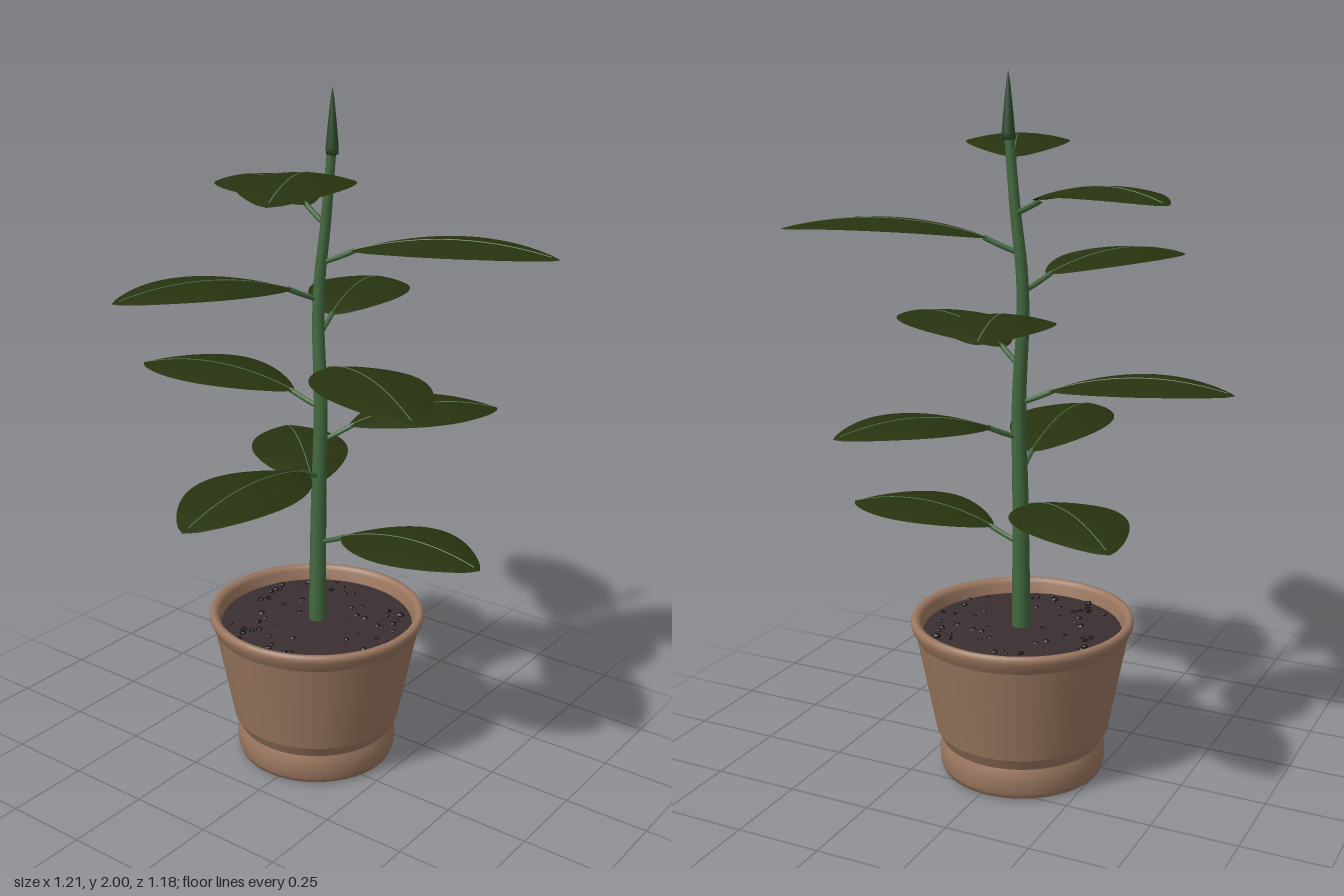
import * as THREE from 'three';

const flat = (name, color, side = THREE.FrontSide) => {
  const m = new THREE.MeshStandardMaterial({ color, side });
  m.name = name;
  return m;
};
const V = (x, y, z) => new THREE.Vector3(x, y, z);

export function createModel() {
  const mat = {
    clay: flat('clay', 0x9b7760),
    soil: flat('soil', 0x3a2f31),
    grit: flat('grit', 0x1c1718),
    stem: flat('stem green', 0x42683f),
    bud: flat('bud green', 0x2e4c2e),
    leaf: flat('leaf green', 0x27330f, THREE.DoubleSide),
    midrib: flat('midrib green', 0x5c7a58),
  };
  const plant = new THREE.Group();
  plant.name = 'pottedPlant';
  const add = (parent, name, geometry, material) => {
    const mesh = new THREE.Mesh(geometry, material);
    mesh.name = name;
    parent.add(mesh);
    return mesh;
  };

  // Pot: separate lathe sections keep the creases sharp
  const pot = new THREE.Group();
  pot.name = 'pot';
  pot.position.set(-0.025, 0, -0.065);
  plant.add(pot);
  const sections = {
    potFoot: [[0, 0], [0.222, 0], [0.234, 0.006], [0.24, 0.022], [0.243, 0.05], [0.241, 0.075], [0.234, 0.095]],
    potGroove: [[0.234, 0.095], [0.252, 0.13]],
    potWall: [[0.252, 0.13], [0.281, 0.28], [0.307, 0.415]],
    potRim: [[0.307, 0.415], [0.315, 0.43], [0.322, 0.447], [0.323, 0.458], [0.319, 0.467],
      [0.31, 0.469], [0.3, 0.465], [0.294, 0.455], [0.286, 0.415]],
  };
  for (const [name, pts] of Object.entries(sections)) {
    add(pot, name, new THREE.LatheGeometry(pts.map(p => new THREE.Vector2(...p)), 64), mat.clay);
  }

  // Soil with scattered grit
  const soil = [[0.29, 0.425], [0.2, 0.431], [0.1, 0.434], [0, 0.435]];
  add(pot, 'soil', new THREE.LatheGeometry(soil.map(p => new THREE.Vector2(...p)), 48), mat.soil);
  let seed = 7;
  const random = () => (seed = (seed * 16807) % 2147483647) / 2147483647;
  for (let i = 0; i < 60; i++) {
    const a = random() * Math.PI * 2, r = 0.05 + 0.22 * Math.sqrt(random());
    const grain = add(pot, 'soilGrain', new THREE.IcosahedronGeometry(0.006 + random() * 0.006, 0), mat.grit);
    grain.position.set(Math.cos(a) * r, 0.432, Math.sin(a) * r);
    grain.scale.y = 0.6;
    grain.rotation.y = a * 3;
  }

  // Stem: gently bent tube, tapered toward the tip
  const stemCurve = new THREE.CatmullRomCurve3([
    V(-0.021, 0.42, -0.064), V(-0.02, 0.8, -0.067), V(-0.02, 1.1, -0.076), V(-0.037, 1.35, -0.086),
    V(-0.035, 1.48, -0.091), V(-0.02, 1.62, -0.095), V(-0.002, 1.83, -0.098),
  ]);
  const stemGeo = new THREE.TubeGeometry(stemCurve, 60, 0.027, 14);
  const pos = stemGeo.attributes.position, uv = stemGeo.attributes.uv, p = V(0, 0, 0);
  for (let i = 0; i < pos.count; i++) {
    const u = uv.getX(i), c = stemCurve.getPointAt(u);
    p.fromBufferAttribute(pos, i).sub(c).multiplyScalar(1 - 0.52 * u).add(c);
    pos.setXYZ(i, p.x, p.y, p.z);
  }
  add(plant, 'stem', stemGeo, mat.stem);

  // Pointed bud at the top
  const bud = [[0, 0], [0.017, 0.005], [0.018, 0.025], [0.012, 0.09], [0.005, 0.155], [0, 0.185]];
  add(plant, 'bud', new THREE.LatheGeometry(bud.map(q => new THREE.Vector2(...q)), 16), mat.bud)
    .position.set(0, 1.815, -0.098);

  const stemAt = y => {
    let best = stemCurve.getPoint(0);
    for (const c of stemCurve.getPoints(200)) if (Math.abs(c.y - y) < Math.abs(best.y - y)) best = c;
    return best.clone();
  };

  // Blade: arched lengthwise, edges drooping, blunt pointed tip
  const bladeStart = 0.085;
  const arch = t => 0.035 + 0.016 * t + 0.168 * t * (1 - t);
  const bladeGeometry = reach => {
    const g = new THREE.PlaneGeometry(2, 1, 12, 28).rotateX(-Math.PI / 2);
    const a = g.attributes.position;
    for (let i = 0; i < a.count; i++) {
      const s = a.getX(i), t = THREE.MathUtils.clamp(a.getZ(i) + 0.5, 0, 1);
      const w = Math.pow(Math.max(Math.sin(Math.PI * t), 0), 0.75);
      a.setXYZ(i, 0.15 * w * s, arch(t) - 0.02 * w * s * s, bladeStart + t * (reach - bladeStart));
    }
    g.computeVertexNormals();
    return g;
  };

  // Leaves spiral up the stem; each entry is a tip position
  const tips = [
    [0.53, 0.74, -0.07], [-0.46, 0.845, -0.48], [0.04, 0.95, 0.59], [0.32, 1.055, -0.5],
    [-0.61, 1.155, 0.03], [0.54, 1.26, 0.29], [-0.155, 1.365, -0.595], [-0.3, 1.47, 0.465],
    [0.605, 1.575, -0.29], [-0.518, 1.682, -0.28], [0.235, 1.785, 0.48],
  ];
  for (const [x, y, z] of tips) {
    const root = stemAt(y - 0.055);
    const reach = Math.hypot(x - root.x, z - root.z);
    const leaf = new THREE.Group();
    leaf.name = 'leaf';
    leaf.position.set(root.x, y - 0.051, root.z);
    leaf.rotation.y = Math.atan2(x - root.x, z - root.z);
    plant.add(leaf);
    const stalk = new THREE.QuadraticBezierCurve3(V(0, -0.005, 0), V(0, 0.012, 0.05), V(0, 0.037, 0.1));
    add(leaf, 'leafStalk', new THREE.TubeGeometry(stalk, 8, 0.0075, 8), mat.stem);
    add(leaf, 'leafBlade', bladeGeometry(reach), mat.leaf);
    const line = [];
    for (let t = 0; t <= 0.96; t += 0.08) line.push(V(0, arch(t), bladeStart + t * (reach - bladeStart)));
    add(leaf, 'leafMidrib', new THREE.TubeGeometry(new THREE.CatmullRomCurve3(line), 24, 0.0018, 5), mat.midrib);
  }
  return plant;
}
